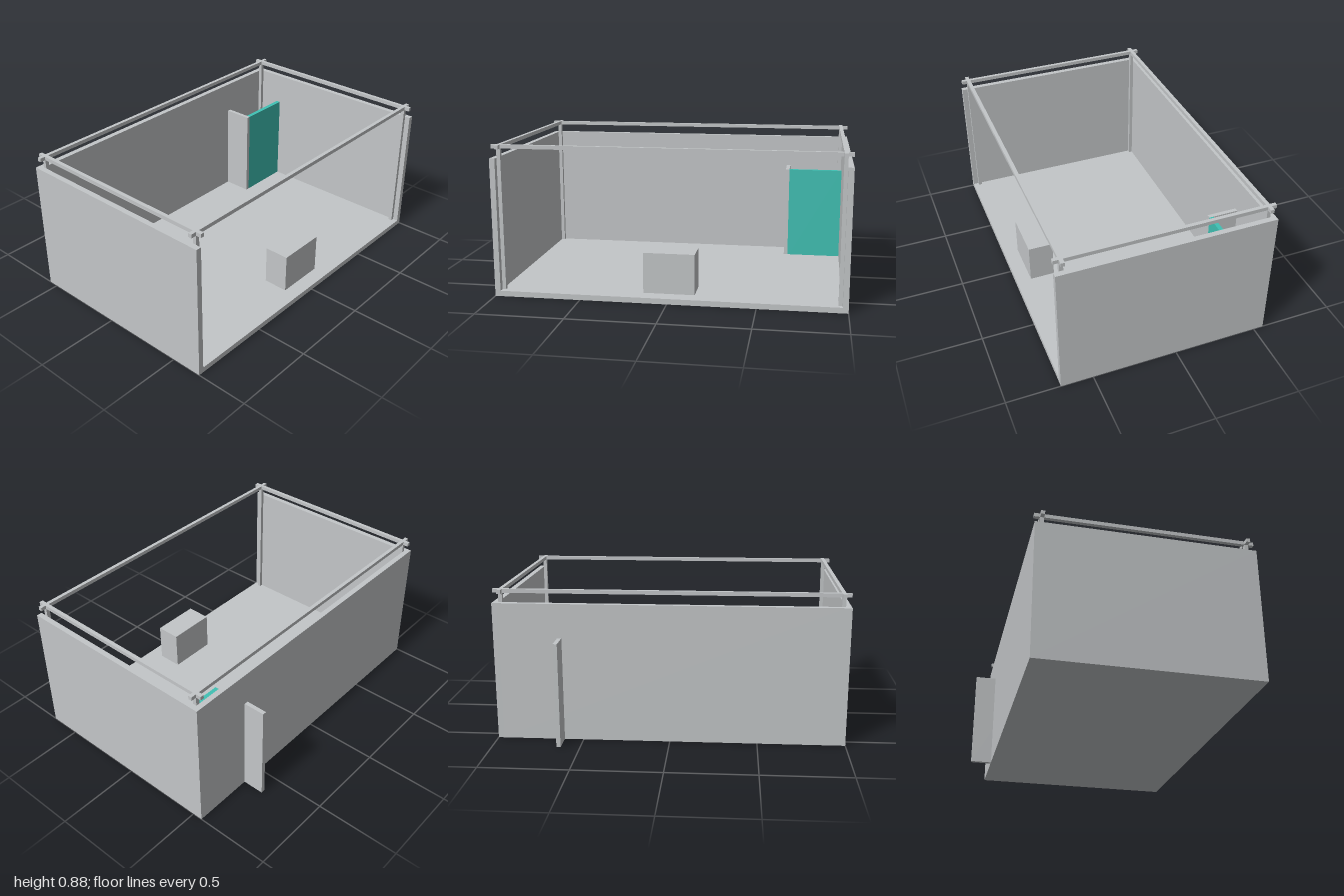
import * as THREE from 'three';

export function createModel() {
  const model = new THREE.Group();
  model.name = 'exhibitionBooth';

  const grey = new THREE.MeshStandardMaterial({ color: 0xc3c6c8 });
  grey.name = 'light grey';
  const teal = new THREE.MeshStandardMaterial({ color: 0x40c1b4 });
  teal.name = 'teal';

  // box given by its extents along each axis
  const block = (name, [x0, x1], [y0, y1], [z0, z1], material = grey) => {
    const mesh = new THREE.Mesh(new THREE.BoxGeometry(x1 - x0, y1 - y0, z1 - z0), material);
    mesh.position.set((x0 + x1) / 2, (y0 + y1) / 2, (z0 + z1) / 2);
    mesh.name = name;
    model.add(mesh);
  };

  const back = -0.56, front = 0.688, wall = 0.032, height = 0.8, floorTop = 0.032;

  // floor and the three walls
  block('floor', [-1 + wall, 1 - wall], [0, floorTop], [back + wall, front]);
  block('backWall', [-1 + wall, 1 - wall], [0, height], [back, back + wall]);
  block('rightWall', [-1, -1 + wall], [0, height], [back, front]);
  block('leftWall', [1 - wall, 1], [0, height], [back, front]);

  // corner posts carrying crossing top rails
  const bar = 0.022, railBottom = 0.853, railTop = 0.875;
  const barX = [[-1 + wall, -1 + wall + bar], [1 - wall - bar, 1 - wall]];
  const barZ = [[back + wall, back + wall + bar], [front - wall - bar, front - wall]];
  for (const x of barX) {
    block('sideRail', x, [railBottom, railTop], [back, front]);
    for (const z of barZ) block('cornerPost', x, [floorTop, railBottom], z);
  }
  for (const z of barZ) block('crossRail', [-1, 1], [railBottom, railTop], z);

  // small store in the back corner: partition through the wall and coloured panel
  block('partition', [0.61, 0.634], [0, 0.603], [-0.688, -0.35]);
  block('storePanel', [0.634, 1 - wall], [0.01, 0.603], [-0.375, -0.35], teal);

  // counter near the open front
  block('counter', [-0.15, 0.146], [floorTop, 0.268], [0.448, 0.598]);

  return model;
}
